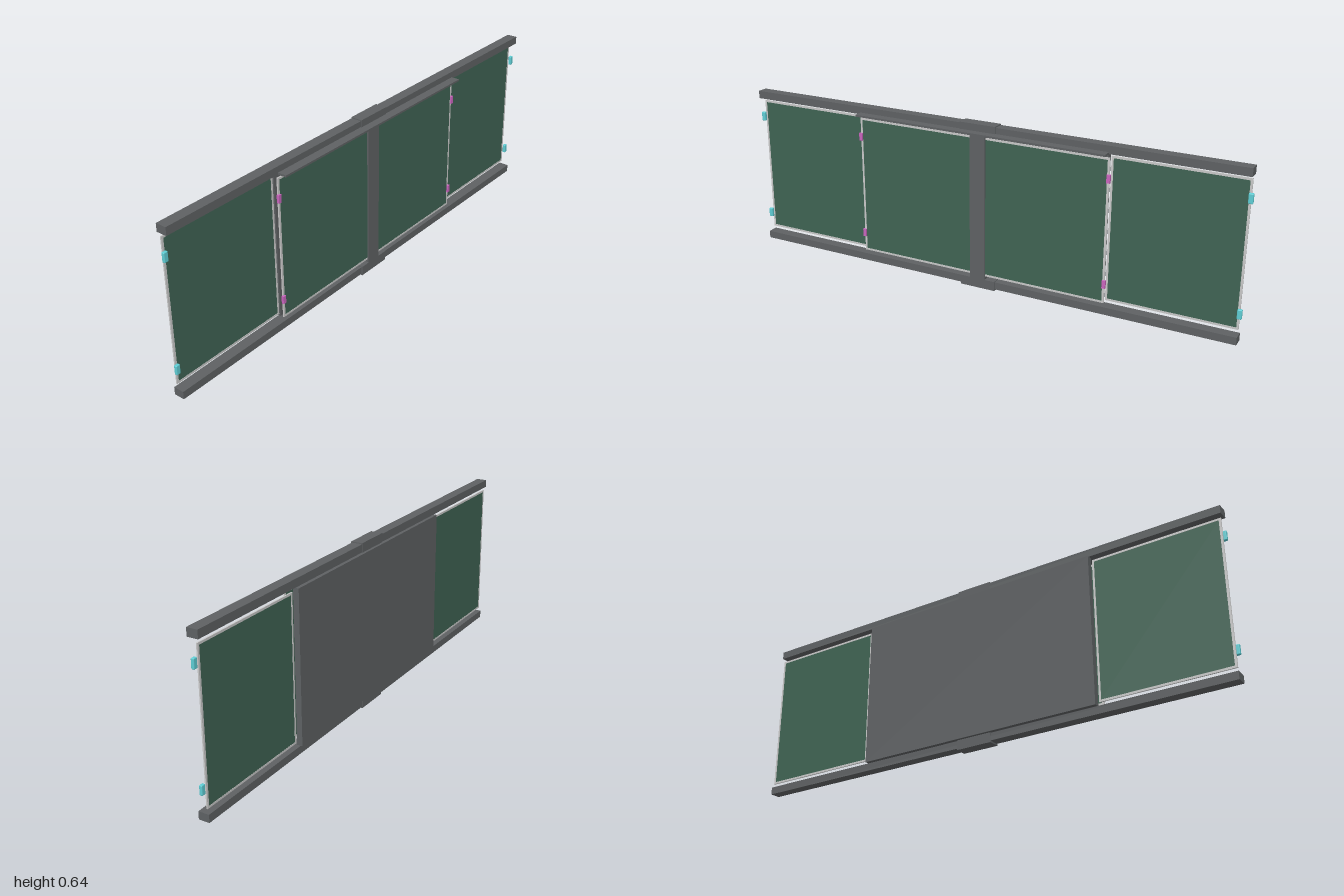
import * as THREE from 'three';
import { RoundedBoxGeometry } from 'three/addons/geometries/RoundedBoxGeometry.js';

const mat = (name, hex) => {
  const m = new THREE.MeshStandardMaterial({ color: hex });
  m.name = name;
  return m;
};

export function createModel() {
  const model = new THREE.Group();
  model.name = 'slidingBoard';
  const grey = mat('dark grey', 0x5e6163);
  const green = mat('board green', 0x3f6353);
  const light = mat('light aluminium', 0xc8c8c8);
  const cyan = mat('cyan', 0x5ecdd4);
  const magenta = mat('magenta', 0xc964bd);

  // Box given by its limits on each axis, with optional rounded edges
  const box = (name, m, [x0, x1], [y0, y1], [z0, z1], radius = 0) => {
    const size = [x1 - x0, y1 - y0, z1 - z0];
    const geometry = radius ? new RoundedBoxGeometry(...size, 2, radius) : new THREE.BoxGeometry(...size);
    const mesh = new THREE.Mesh(geometry, m);
    mesh.position.set((x0 + x1) / 2, (y0 + y1) / 2, (z0 + z1) / 2);
    mesh.name = name;
    model.add(mesh);
  };

  // Thin green board inside a light frame
  const board = (name, [x0, x1], [y0, y1], [z0, z1]) => {
    const w = 0.008, inset = 0.0006;
    const rect = (d) => [[x0 + d, y0 + d], [x1 - d, y0 + d], [x1 - d, y1 - d], [x0 + d, y1 - d]]
      .map(p => new THREE.Vector2(...p));
    const shape = new THREE.Shape(rect(0));
    shape.holes.push(new THREE.Path(rect(w).reverse()));
    const frame = new THREE.Mesh(new THREE.ExtrudeGeometry(shape, { depth: z1 - z0, bevelEnabled: false }), light);
    frame.position.z = z0;
    frame.name = name + 'Frame';
    model.add(frame);
    box(name + 'Surface', green, [x0 + w, x1 - w], [y0 + w, y1 - w], [z0 + inset, z1 - inset]);
  };

  // Rails, with a wider clip at the middle
  [[0.006, 0.035], [0.611, 0.641]].forEach(y => box('rail', grey, [-0.994, 0.994], y, [-0.032, 0.009]));
  [[0, 0.037], [0.61, 0.645]].forEach(y => box('railClip', grey, [-0.072, 0.072], y, [-0.033, 0.0125]));

  // Centre post, rear case and top ledge
  box('centrePost', grey, [-0.032, 0.03], [0.03, 0.615], [-0.03, 0.0125]);
  box('rearCase', grey, [-0.498, 0.493], [0.038, 0.609], [-0.042, -0.02]);
  box('topLedge', grey, [-0.507, 0.505], [0.6105, 0.618], [0.005, 0.043]);

  // Fixed board behind the post
  const height = [0.05, 0.597];
  board('frontBoard', [-0.509, 0.509], height, [0.002, 0.007]);

  for (const side of [1, -1]) {
    const span = (a, b) => side > 0 ? [a, b] : [-b, -a];

    // Outer board, level with the rear case
    board('outerBoard', span(0.504, 0.99), height, [-0.025, -0.02]);

    // Pull handles
    for (const h of [0.115, 0.532])
      box('outerHandle', cyan, span(0.983, 1), [h - 0.018, h + 0.018], [-0.016, -0.004], 0.003);
    for (const h of [0.125, 0.522])
      box('frontHandle', magenta, span(0.501, 0.514), [h - 0.015, h + 0.015], [0.004, 0.0135]);
  }
  return model;
}
